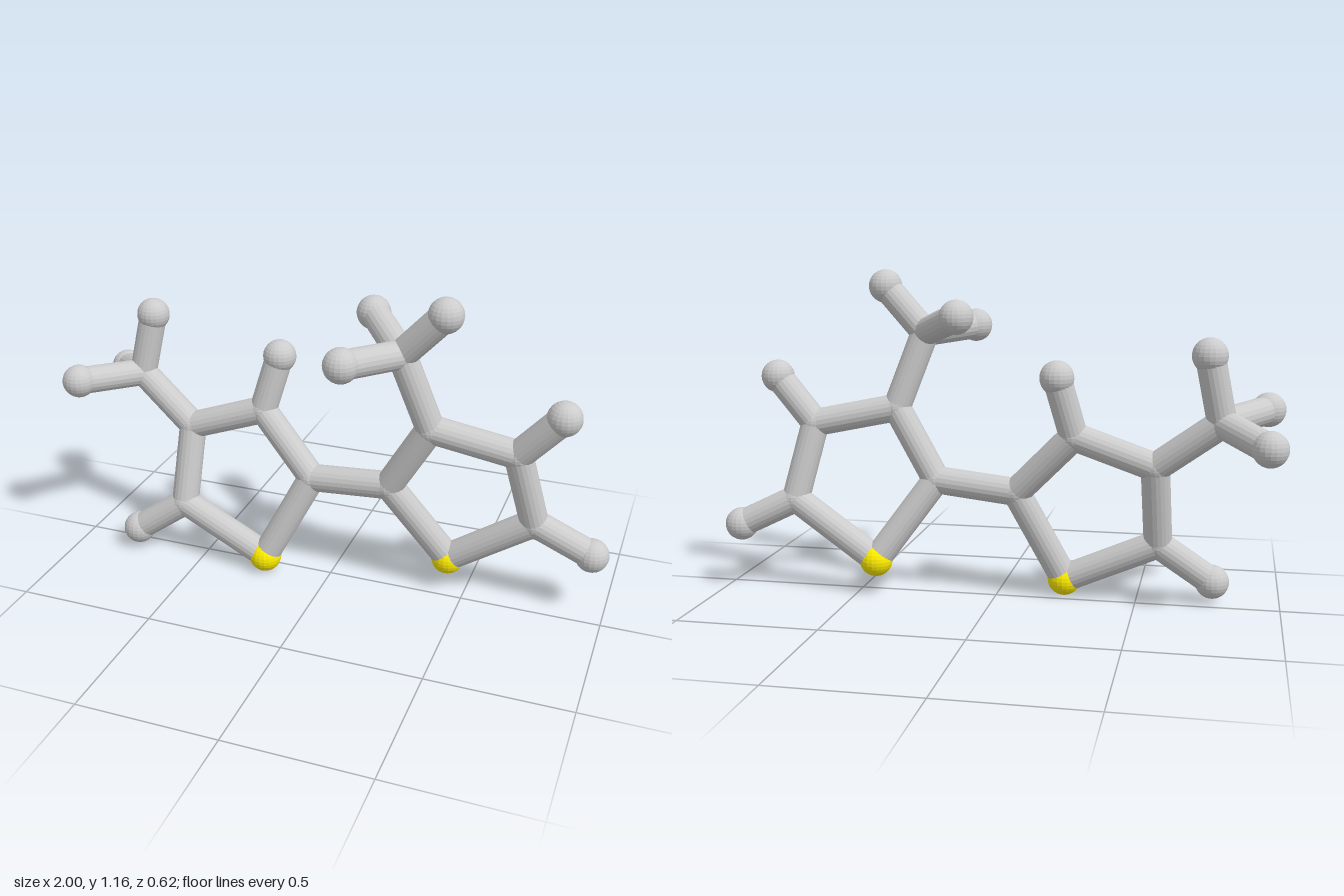
import * as THREE from 'three';

const BOND_R = 0.05, BALL_R = 0.06, SIDES = 20;

// Each half: ring atoms, methyl carbon and the hydrogens, as positions
const halves = {
  right: {
    sulfur: [-0.24, 0.06, 0.055],
    inner: [-0.075, 0.385, -0.01],
    ringTop: [-0.285, 0.6, -0.065],
    ringSide: [-0.565, 0.5, -0.05],
    ringLow: [-0.575, 0.21, 0.03],
    methyl: [-0.785, 0.665, -0.095],
    hydrogenTop: [-0.23, 0.805, -0.1],
    hydrogenLow: [-0.765, 0.077, 0.055],
    methylHydrogenA: [-0.74, 0.893, -0.12],
    methylHydrogenB: [-0.94, 0.687, 0.108],
    methylHydrogenC: [-0.94, 0.61, -0.253],
    bonds: ['sulfur inner', 'inner ringTop', 'ringTop ringSide', 'ringSide ringLow', 'ringLow sulfur',
      'ringTop hydrogenTop', 'ringLow hydrogenLow', 'ringSide methyl'],
  },
  left: {
    sulfur: [0.43, 0.125, -0.06],
    inner: [0.22, 0.415, 0.005],
    ringTop: [0.37, 0.67, 0.028],
    ringSide: [0.67, 0.61, 0.0],
    ringLow: [0.735, 0.335, -0.047],
    methyl: [0.27, 0.94, 0.058],
    hydrogenTop: [0.815, 0.775, 0.018],
    hydrogenLow: [0.94, 0.236, -0.064],
    methylHydrogenA: [0.42, 1.102, 0.078],
    methylHydrogenB: [0.115, 1.007, -0.12],
    methylHydrogenC: [0.125, 0.955, 0.252],
    bonds: ['sulfur inner', 'inner ringTop', 'ringTop ringSide', 'ringSide ringLow', 'ringLow sulfur',
      'ringSide hydrogenTop', 'ringLow hydrogenLow', 'ringTop methyl'],
  },
};
const methylBonds = ['A', 'B', 'C'].map(k => `methyl methylHydrogen${k}`);

export function createModel() {
  const model = new THREE.Group();
  model.name = 'molecule';
  const grey = new THREE.MeshStandardMaterial({ color: 0xcccccc, flatShading: true });
  const yellow = new THREE.MeshStandardMaterial({ color: 0xffee00, flatShading: true });

  function addAtom(parent, name, position) {
    const big = name === 'sulfur' || /hydrogen/i.test(name);
    const ball = new THREE.Mesh(
      new THREE.SphereGeometry(big ? BALL_R : BOND_R + 0.002, SIDES, 14),
      name === 'sulfur' ? yellow : grey);
    ball.name = name + 'Atom';
    ball.position.set(...position);
    parent.add(ball);
  }

  // Cylinder running from one atom centre to the next
  function addBond(parent, name, from, to) {
    const a = new THREE.Vector3(...from), b = new THREE.Vector3(...to);
    const rod = new THREE.Mesh(new THREE.CylinderGeometry(BOND_R, BOND_R, a.distanceTo(b), SIDES), grey);
    rod.name = name;
    rod.position.copy(a).lerp(b, 0.5);
    rod.quaternion.setFromUnitVectors(new THREE.Vector3(0, 1, 0), b.sub(a).normalize());
    parent.add(rod);
  }

  for (const [side, { bonds, ...atoms }] of Object.entries(halves)) {
    const half = new THREE.Group();
    half.name = side + 'Ring';
    for (const [name, position] of Object.entries(atoms)) addAtom(half, name, position);
    for (const pair of [...bonds, ...methylBonds]) {
      const [from, to] = pair.split(' ');
      addBond(half, `${from} to ${to} bond`, atoms[from], atoms[to]);
    }
    model.add(half);
  }

  // Bond joining the two rings
  addBond(model, 'bridgeBond', halves.right.inner, halves.left.inner);
  return model;
}
